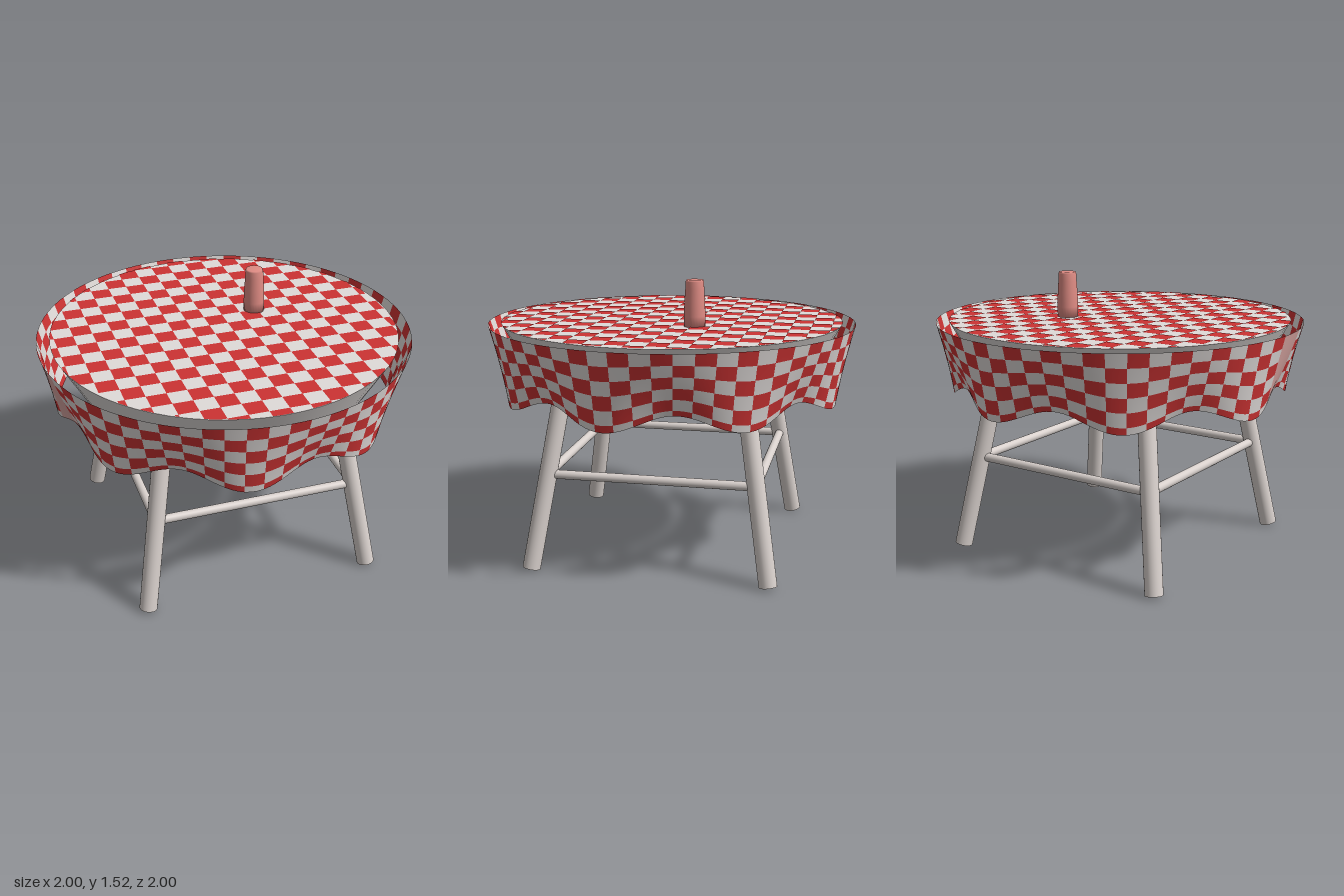
import * as THREE from 'three';

const mat = (name, color, side = THREE.FrontSide) => {
  const m = new THREE.MeshStandardMaterial({ color, side });
  m.name = name;
  return m;
};

export function createModel() {
  const model = new THREE.Group();
  model.name = 'clothCoveredTable';

  const white = mat('clothWhite', 0xe0dbd9, THREE.DoubleSide);
  const red = mat('clothRed', 0xcc3333, THREE.DoubleSide);
  const blush = mat('clothSeamPink', 0xdba8a4, THREE.DoubleSide);
  const wood = mat('paleWood', 0xd8d0cc);
  const salmon = mat('salmon', 0xe08c84);

  const add = (name, geometry, material, parent = model) => {
    const mesh = new THREE.Mesh(geometry, material);
    mesh.name = name;
    parent.add(mesh);
    return mesh;
  };

  // Round rod between two points
  const rod = (name, a, b, r, parent) => {
    const dir = b.clone().sub(a);
    const mesh = add(name, new THREE.CylinderGeometry(r, r, dir.length(), 24), wood, parent);
    mesh.position.copy(a).add(b).multiplyScalar(0.5);
    mesh.quaternion.setFromUnitVectors(new THREE.Vector3(0, 1, 0), dir.normalize());
  };

  // Tabletop: a shallow tapered drum
  const R = 0.93, topY = 1.275, underY = 1.06;
  const drum = add('tabletop', new THREE.CylinderGeometry(R, 0.81, topY - underY, 64), white);
  drum.position.y = (topY + underY) / 2;

  // Red checks on the tabletop, each square trimmed to the round edge
  const cell = 0.1035, pos = [], idx = [], steps = 6;
  for (let a = -9; a <= 9; a++) {
    for (let b = -9; b <= 9; b++) {
      if ((a + b) % 2 === 0) continue;
      const x0 = -0.013 + (a - 0.5) * cell, z0 = (b - 0.5) * cell;
      for (let s = 0; s < steps; s++) {
        const quad = [s, s + 1].map((k) => {
          const x = x0 + (cell * k) / steps;
          const h = Math.sqrt(Math.max(0, R * R - x * x));
          return { x, near: Math.max(z0, -h), far: Math.min(z0 + cell, h) };
        });
        if (quad.some((q) => q.far <= q.near)) continue;
        const n = pos.length / 3;
        quad.forEach((q) => pos.push(q.x, topY + 0.003, q.near, q.x, topY + 0.003, q.far));
        idx.push(n, n + 1, n + 2, n + 1, n + 3, n + 2);
      }
    }
  }
  const checks = new THREE.BufferGeometry();
  checks.setAttribute('position', new THREE.Float32BufferAttribute(pos, 3));
  checks.setIndex(idx);
  checks.computeVertexNormals();
  add('tabletopChecks', checks, red);

  // Hanging cloth: tapering ring with eight folds and a wavy hem
  const cols = 180, rows = 11, rimY = 1.267;
  const sPos = [], faces = [[], [], []];
  for (let j = 0; j <= rows; j++) {
    const v = j / rows;
    for (let i = 0; i < cols; i++) {
      const t = (i / cols) * Math.PI * 2;
      const wave = Math.cos(8 * (t - THREE.MathUtils.degToRad(12.5)));
      const r = 1 - 0.1 * v - 0.022 * wave * v * v;
      const hem = 0.897 + 0.045 * wave;
      sPos.push(Math.sin(t) * r, rimY + (hem - rimY) * v, Math.cos(t) * r);
    }
  }
  for (let j = 0; j < rows; j++) {
    for (let i = 0; i < cols; i++) {
      const c = Math.floor(i / 3), row = Math.floor(j / 2);
      const kind = c === 45 || c === 46 ? 2 : (c + row) % 2 === 0 ? 1 : 0;
      const a = j * cols + i, b = j * cols + ((i + 1) % cols);
      faces[kind].push(a, a + cols, b, b, a + cols, b + cols);
    }
  }
  const skirt = new THREE.BufferGeometry();
  skirt.setAttribute('position', new THREE.Float32BufferAttribute(sPos, 3));
  skirt.setIndex(faces.flat());
  let start = 0;
  faces.forEach((f, k) => {
    skirt.addGroup(start, f.length, k);
    start += f.length;
  });
  skirt.computeVertexNormals();
  add('hangingCloth', skirt, [white, red, blush]);

  // Four splayed legs joined by a square of stretchers
  const frame = new THREE.Group();
  frame.name = 'legFrame';
  model.add(frame);
  const splay = (y) => 0.635 - 0.16 * y;
  const corners = [[1, 1], [1, -1], [-1, -1], [-1, 1]];
  const at = ([sx, sz], y) => new THREE.Vector3(sx * splay(y), y, sz * splay(y));
  corners.forEach((c, i) => {
    rod('leg', at(c, 0.01), at(c, 1.07), 0.048, frame);
    rod('stretcher', at(c, 0.515), at(corners[(i + 1) % 4], 0.515), 0.024, frame);
  });

  // Short upright post standing on the table
  const post = [[0, 0], [0.056, 0], [0.057, 0.06], [0.054, 0.14], [0.05, 0.2], [0.048, 0.24], [0.044, 0.248], [0, 0.248]]
    .map(([x, y]) => new THREE.Vector2(x, y));
  add('post', new THREE.LatheGeometry(post, 24), salmon).position.set(0.23, 1.272, -0.17);

  return model;
}
